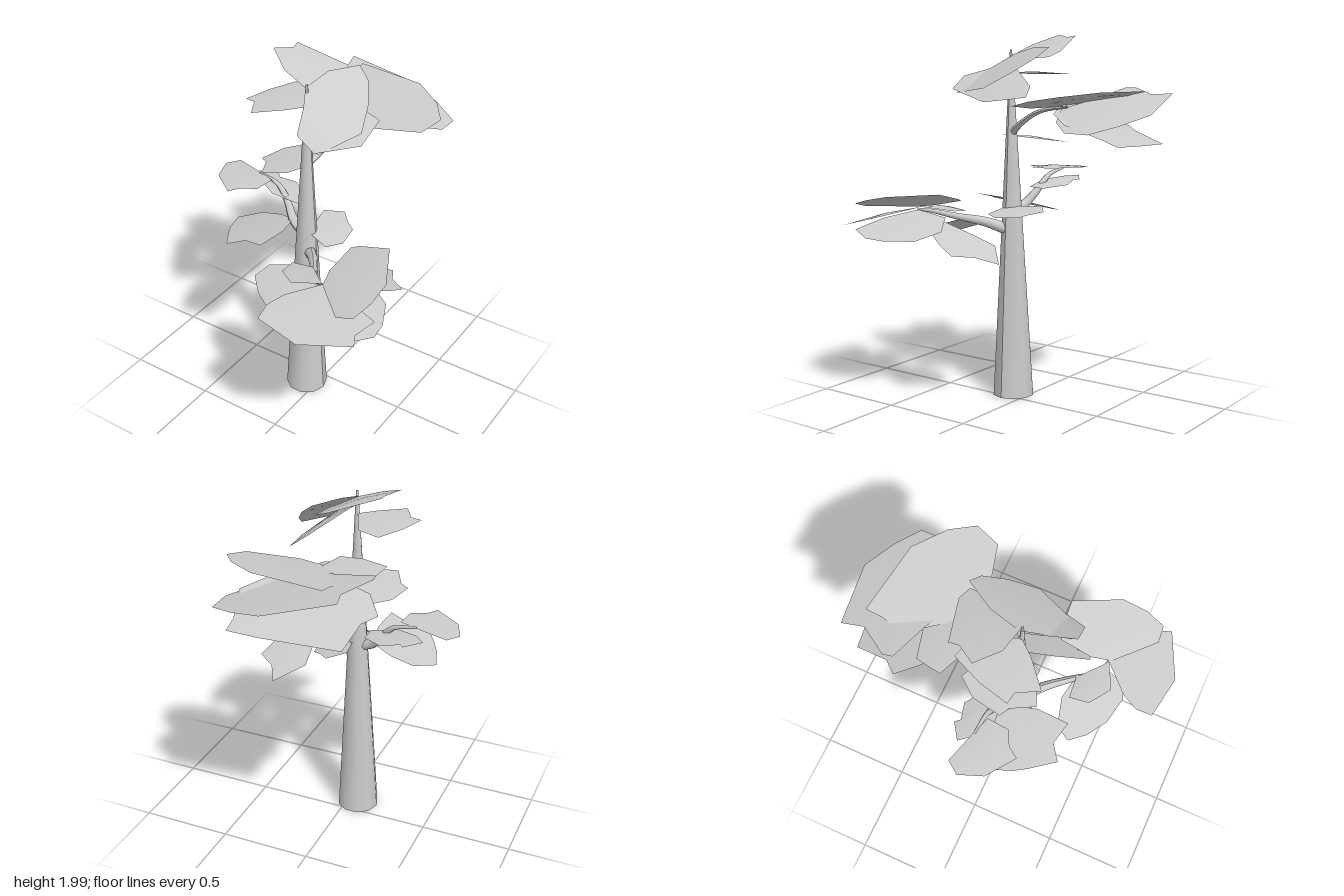
import * as THREE from 'three';

const bark = new THREE.MeshStandardMaterial({ color: 0xcccccc });
const foliage = new THREE.MeshStandardMaterial({ color: 0xcccccc, side: THREE.DoubleSide });

// Tube along a curve, narrowing from r0 to r1
function taperedTube(name, pts, r0, r1, sides) {
  const curve = new THREE.CatmullRomCurve3(pts.map((p) => new THREE.Vector3(...p)));
  const steps = 14;
  const geo = new THREE.TubeGeometry(curve, steps, r0, sides);
  const pos = geo.attributes.position;
  const v = new THREE.Vector3();
  for (let i = 0; i < pos.count; i++) {
    const t = Math.floor(i / (sides + 1)) / steps;
    const c = curve.getPointAt(t);
    v.fromBufferAttribute(pos, i).sub(c).multiplyScalar(THREE.MathUtils.lerp(1, r1 / r0, t)).add(c);
    pos.setXYZ(i, v.x, v.y, v.z);
  }
  geo.computeVertexNormals();
  const mesh = new THREE.Mesh(geo, bark);
  mesh.name = name;
  return mesh;
}

// Leaf pad: outline in (x, z) lying on the plane y = a + b*x + c*z, slightly domed
function leaf(name, [a, b, c], outline) {
  const n = outline.length;
  const area = outline.reduce((s, [x, z], i) => {
    const [x2, z2] = outline[(i + 1) % n];
    return s + x * z2 - x2 * z;
  }, 0);
  const pts = area > 0 ? [...outline].reverse() : outline;
  const cx = pts.reduce((s, p) => s + p[0], 0) / n;
  const cz = pts.reduce((s, p) => s + p[1], 0) / n;
  const verts = [];
  const put = (x, z, lift) => verts.push(x, a + b * x + c * z + lift, z);
  put(cx, cz, 0.012);
  pts.forEach(([x, z]) => put(x, z, 0));
  const index = [];
  for (let i = 0; i < n; i++) index.push(0, 1 + i, 1 + ((i + 1) % n));
  const geo = new THREE.BufferGeometry();
  geo.setAttribute('position', new THREE.Float32BufferAttribute(verts, 3));
  geo.setIndex(index);
  geo.computeVertexNormals();
  const mesh = new THREE.Mesh(geo, foliage);
  mesh.name = name;
  return mesh;
}

export function createModel() {
  const tree = new THREE.Group();
  tree.name = 'tree';

  // Trunk, leaning very slightly toward its left
  const trunkGeo = new THREE.CylinderGeometry(0.006, 0.116, 1.91, 10, 6, false, Math.PI / 2);
  trunkGeo.translate(0, 0.955, 0);
  const p = trunkGeo.attributes.position;
  for (let i = 0; i < p.count; i++) p.setX(i, p.getX(i) + 0.01 * p.getY(i));
  trunkGeo.computeVertexNormals();
  const trunk = new THREE.Mesh(trunkGeo, bark);
  trunk.name = 'trunk';
  trunk.position.set(-0.064, 0, 0.09);
  tree.add(trunk);

  // Branches
  tree.add(
    taperedTube('backBranch', [[-0.05, 1.46, 0.09], [-0.01, 1.52, 0], [0.03, 1.59, -0.15], [0.05, 1.62, -0.34]], 0.02, 0.006, 8),
    taperedTube('rightBranch', [[-0.05, 1.03, 0.09], [-0.15, 1.07, 0.07], [-0.22, 1.15, 0.03], [-0.29, 1.22, 0.01], [-0.42, 1.25, 0]], 0.032, 0.006, 8),
    taperedTube('frontBranch', [[-0.04, 0.93, 0.09], [0.05, 0.98, 0.19], [0.14, 1.01, 0.31], [0.22, 1.04, 0.42], [0.31, 1.06, 0.46]], 0.034, 0.006, 8)
  );

  // Crown leaves around the trunk tip
  const crown = new THREE.Group();
  crown.name = 'crownLeaves';
  crown.add(
    leaf('topLeaf', [1.87, -0.36, -0.08], [[-0.06, 0.08], [0.04, -0.08], [0.05, -0.22], [-0.03, -0.24], [-0.28, -0.17], [-0.27, -0.12], [-0.33, -0.03], [-0.2, 0.06]]),
    leaf('frontCrownLeaf', [1.878, -0.6, -0.34], [[-0.06, 0.08], [-0.03, -0.08], [0.06, -0.23], [0.13, -0.2], [0.2, -0.09], [0.25, 0.05], [0.16, 0.3], [0.06, 0.3]]),
    leaf('leftCrownLeaf', [1.81, -0.68, 0], [[-0.05, 0.09], [0.06, 0.33], [0.16, 0.33], [0.25, 0.05], [0.21, -0.19], [0.13, -0.16]]),
    leaf('rightCrownLeaf', [1.79, 0.04, 0], [[-0.05, 0.09], [-0.12, 0.17], [-0.25, 0.28], [-0.31, 0.17], [-0.37, 0.16], [-0.33, 0], [-0.26, -0.16], [-0.14, -0.12]]),
    leaf('lowerCrownLeaf', [1.45, 0.12, 0.05], [[-0.05, 0.09], [-0.1, 0.2], [-0.22, 0.25], [-0.28, 0.13], [-0.33, 0.1], [-0.3, -0.06], [-0.22, -0.16], [-0.1, -0.1]])
  );

  // Large leaves on the back branch
  const back = new THREE.Group();
  back.name = 'backLeaves';
  back.add(
    leaf('upperBackLeaf', [1.57, 0.03, -0.2], [[0, -0.22], [0.15, -0.18], [0.42, -0.25], [0.46, -0.38], [0.37, -0.5], [0.2, -0.62], [-0.19, -0.67], [-0.19, -0.58], [-0.22, -0.47], [-0.14, -0.38]]),
    leaf('middleBackLeaf', [1.63, -0.26, 0.03], [[0.05, -0.3], [-0.14, -0.38], [-0.36, -0.44], [-0.37, -0.49], [-0.27, -0.64], [-0.3, -0.75], [0.06, -0.82], [0.25, -0.75], [0.39, -0.67], [0.39, -0.54], [0.25, -0.4]]),
    leaf('lowerBackLeaf', [1.7, 0.08, 0.36], [[0.02, -0.26], [-0.29, -0.33], [-0.38, -0.45], [-0.32, -0.52], [-0.3, -0.7], [0.1, -0.75], [0.27, -0.76], [0.27, -0.68], [0.33, -0.5], [0.2, -0.35]]),
    leaf('innerBackLeaf', [1.654, -0.1, 0.13], [[0.04, -0.33], [-0.05, -0.14], [-0.18, -0.15], [-0.33, -0.21], [-0.3, -0.35], [-0.12, -0.4]])
  );

  // Leaves on the right branch
  const right = new THREE.Group();
  right.name = 'rightLeaves';
  right.add(
    leaf('outerRightLeaf', [1.26, 0.03, 0], [[-0.4, 0], [-0.6, -0.06], [-0.65, 0.01], [-0.6, 0.14], [-0.45, 0.25], [-0.41, 0.19], [-0.33, 0.15], [-0.32, 0.03]]),
    leaf('backRightLeaf', [1.14, -0.15, 0.05], [[-0.42, 0], [-0.48, -0.07], [-0.39, -0.13], [-0.38, -0.1], [-0.27, -0.13], [-0.15, -0.05], [-0.15, 0.04], [-0.3, 0.06]]),
    leaf('frontRightLeaf', [1.11, 0.25, 0.07], [[-0.16, 0.06], [-0.27, 0.02], [-0.4, 0.02], [-0.5, 0.11], [-0.46, 0.23], [-0.42, 0.3], [-0.33, 0.43], [-0.25, 0.37], [-0.13, 0.4], [-0.12, 0.22]]),
    leaf('trunkLeaf', [1.06, -0.22, -0.03], [[-0.03, 0.11], [0.1, 0.14], [0.15, 0.05], [0.13, -0.08], [0.08, -0.11], [0.02, -0.17], [-0.07, -0.1]])
  );

  // Leaves on the front branch
  const front = new THREE.Group();
  front.name = 'frontLeaves';
  front.add(
    leaf('upperFrontLeaf', [1.09, 0.24, -0.196], [[0.3, 0.47], [0.27, 0.36], [0.28, 0.18], [0.32, 0.16], [0.49, 0.15], [0.62, 0.4], [0.62, 0.54], [0.59, 0.65], [0.5, 0.66]]),
    leaf('lowerFrontLeaf', [1.12, 0.1, -0.45], [[0.29, 0.48], [0.27, 0.56], [0.2, 0.6], [0.04, 0.57], [-0.08, 0.5], [-0.16, 0.42], [-0.12, 0.34], [0.03, 0.3], [0.15, 0.32]]),
    leaf('outerFrontLeaf', [1.195, -0.05, -0.25], [[0.3, 0.45], [0.16, 0.6], [0.12, 0.69], [0.13, 0.78], [0.38, 0.82], [0.63, 0.7], [0.6, 0.64], [0.64, 0.53], [0.45, 0.48]]),
    leaf('sideFrontLeaf', [1.1, -0.38, 0.15], [[0.3, 0.46], [0.3, 0.27], [0.42, 0.2], [0.55, 0.27], [0.62, 0.42], [0.64, 0.53], [0.6, 0.64], [0.45, 0.58]]),
    leaf('innerFrontLeaf', [0.98, 0.1, 0.13], [[0.29, 0.46], [0.15, 0.53], [0.04, 0.45], [0.03, 0.34], [0.15, 0.33]]),
    leaf('backFrontLeaf', [0.918, -0.12, 0.37], [[0.28, 0.36], [0.24, 0.15], [0.22, 0], [0.36, -0.13], [0.42, -0.02], [0.52, 0.05], [0.49, 0.15], [0.42, 0.28]])
  );

  tree.add(crown, back, right, front);
  return tree;
}
